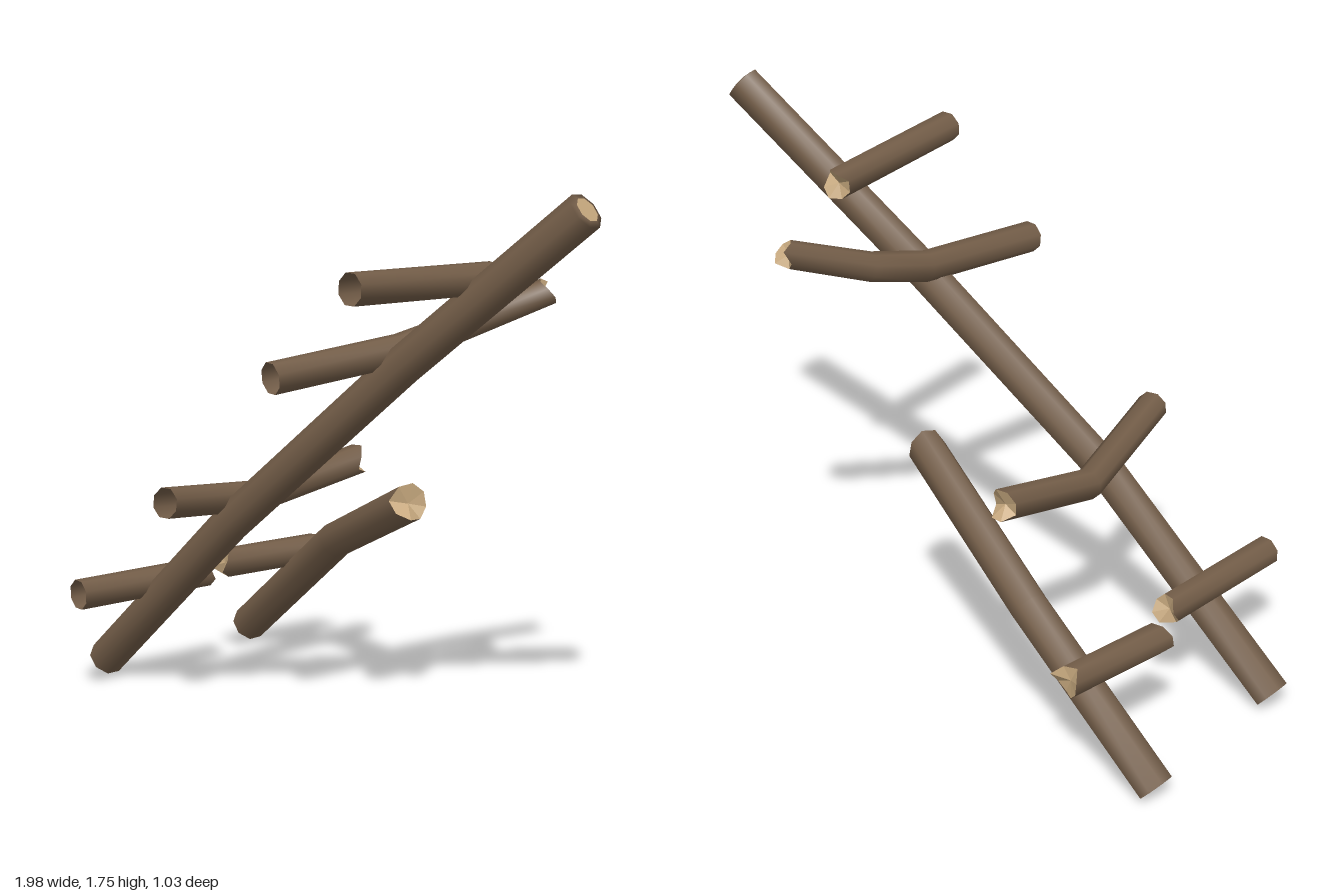
import * as THREE from 'three';

const SIDES = 8;
const bark = new THREE.MeshStandardMaterial({ color: 0x735d48, side: THREE.DoubleSide });
bark.name = 'bark';
const wood = new THREE.MeshStandardMaterial({ color: 0xc6a87e, side: THREE.DoubleSide });
wood.name = 'bare wood';

// Uneven splinter depth (0..1) around a snapped end
const splinter = (j, seed) => 0.5 + 0.35 * Math.sin(j * Math.PI / 2 + seed) + 0.15 * Math.sin(j * 2.3 + seed * 3);

// A bent log through points [x, y, z, radius]; ends are 'open', 'cut' or 'broken'
function makeLog(name, pts, ref, startEnd, finishEnd, seed) {
  const centres = pts.map(p => new THREE.Vector3(p[0], p[1], p[2]));
  const n = pts.length;
  const rings = centres.map((c, i) => {
    const t = new THREE.Vector3();
    if (i > 0) t.add(c.clone().sub(centres[i - 1]).normalize());
    if (i < n - 1) t.add(centres[i + 1].clone().sub(c).normalize());
    t.normalize();
    const u = ref.clone().addScaledVector(t, -ref.dot(t)).normalize();
    const v = t.clone().cross(u);
    const snapped = (i === 0 && startEnd === 'broken') || (i === n - 1 && finishEnd === 'broken');
    const out = i === 0 ? -1 : 1;
    const ring = [];
    for (let j = 0; j < SIDES; j++) {
      const a = (j + 0.5) / SIDES * Math.PI * 2;
      const p = c.clone().addScaledVector(u, Math.cos(a) * pts[i][3]).addScaledVector(v, Math.sin(a) * pts[i][3]);
      if (snapped) p.addScaledVector(t, out * (0.03 - 0.055 * splinter(j, seed + i)));
      ring.push(p);
    }
    return { ring, c, t };
  });

  // Sawn end: narrow bark bevel around the bare wood
  if (finishEnd === 'cut') {
    const last = rings[n - 1];
    const c = last.c.clone().addScaledVector(last.t, 0.006);
    rings.push({ ring: last.ring.map(p => p.clone().sub(last.c).multiplyScalar(0.68).add(c)), c, t: last.t });
  }

  // Bark sleeve
  const index = [];
  for (let i = 0; i < rings.length - 1; i++) {
    for (let j = 0; j < SIDES; j++) {
      const k = (j + 1) % SIDES;
      const a = i * SIDES + j, b = i * SIDES + k;
      index.push(a, b, b + SIDES, a, b + SIDES, a + SIDES);
    }
  }
  const sleeve = new THREE.BufferGeometry().setFromPoints(rings.flatMap(r => r.ring));
  sleeve.setIndex(index);
  sleeve.computeVertexNormals();
  const group = new THREE.Group();
  group.name = name;
  const body = new THREE.Mesh(sleeve, bark);
  body.name = name + 'Bark';
  group.add(body);

  // Bare wood at the exposed ends
  const addEnd = (r, kind, sign) => {
    if (kind === 'open') return;
    const mid = r.c.clone().addScaledVector(r.t, kind === 'broken' ? -sign * 0.012 : 0);
    const tris = [];
    for (let j = 0; j < SIDES; j++) {
      const a = r.ring[j], b = r.ring[(j + 1) % SIDES];
      tris.push(...(sign > 0 ? [a, b, mid] : [b, a, mid]));
    }
    const geo = new THREE.BufferGeometry().setFromPoints(tris);
    geo.computeVertexNormals();
    const cap = new THREE.Mesh(geo, wood);
    cap.name = name + (sign > 0 ? 'FarEnd' : 'NearEnd');
    group.add(cap);
  };
  addEnd(rings[0], startEnd, -1);
  addEnd(rings[rings.length - 1], finishEnd, 1);
  return group;
}

export function createModel() {
  const model = new THREE.Group();
  model.name = 'brokenLadder';
  const Y = new THREE.Vector3(0, 1, 0), Z = new THREE.Vector3(0, 0, 1);
  const R = 0.061, r = 0.05;

  // Long whole rail and snapped short rail
  model.add(makeLog('longRail', [
    [-0.955, 0.045, 0.235, R], [-0.3, 0.63, 0.232, R], [0.343, 1.203, 0.1, R], [0.953, 1.708, -0.022, R],
  ], Z, 'open', 'cut', 0));
  model.add(makeLog('shortRail', [
    [-0.955, 0.045, -0.4, R], [-0.44, 0.452, -0.347, R], [0.145, 0.713, -0.12, R],
  ], Z, 'open', 'broken', 1.2));

  // Rungs, bottom to top
  model.add(makeLog('bottomRungFront', [
    [-0.738, 0.358, 0.51, r], [-0.695, 0.358, 0.02, r],
  ], Y, 'open', 'broken', 0.4));
  model.add(makeLog('bottomRungBack', [
    [-0.757, 0.352, -0.115, r], [-0.692, 0.357, -0.49, r],
  ], Y, 'broken', 'broken', 2.1));
  model.add(makeLog('secondRung', [
    [-0.287, 0.738, 0.51, r], [-0.37, 0.678, 0.045, r], [-0.318, 0.75, -0.32, r],
  ], Y, 'open', 'broken', 3.3));
  model.add(makeLog('thirdRung', [
    [0.21, 1.195, 0.51, r], [0.275, 1.235, 0.05, r], [0.33, 1.29, -0.15, 0.047], [0.455, 1.385, -0.395, 0.044],
  ], Y, 'open', 'broken', 4.5));
  model.add(makeLog('topRung', [
    [0.55, 1.495, 0.51, r], [0.55, 1.473, -0.045, r],
  ], Y, 'open', 'broken', 5.2));
  return model;
}
